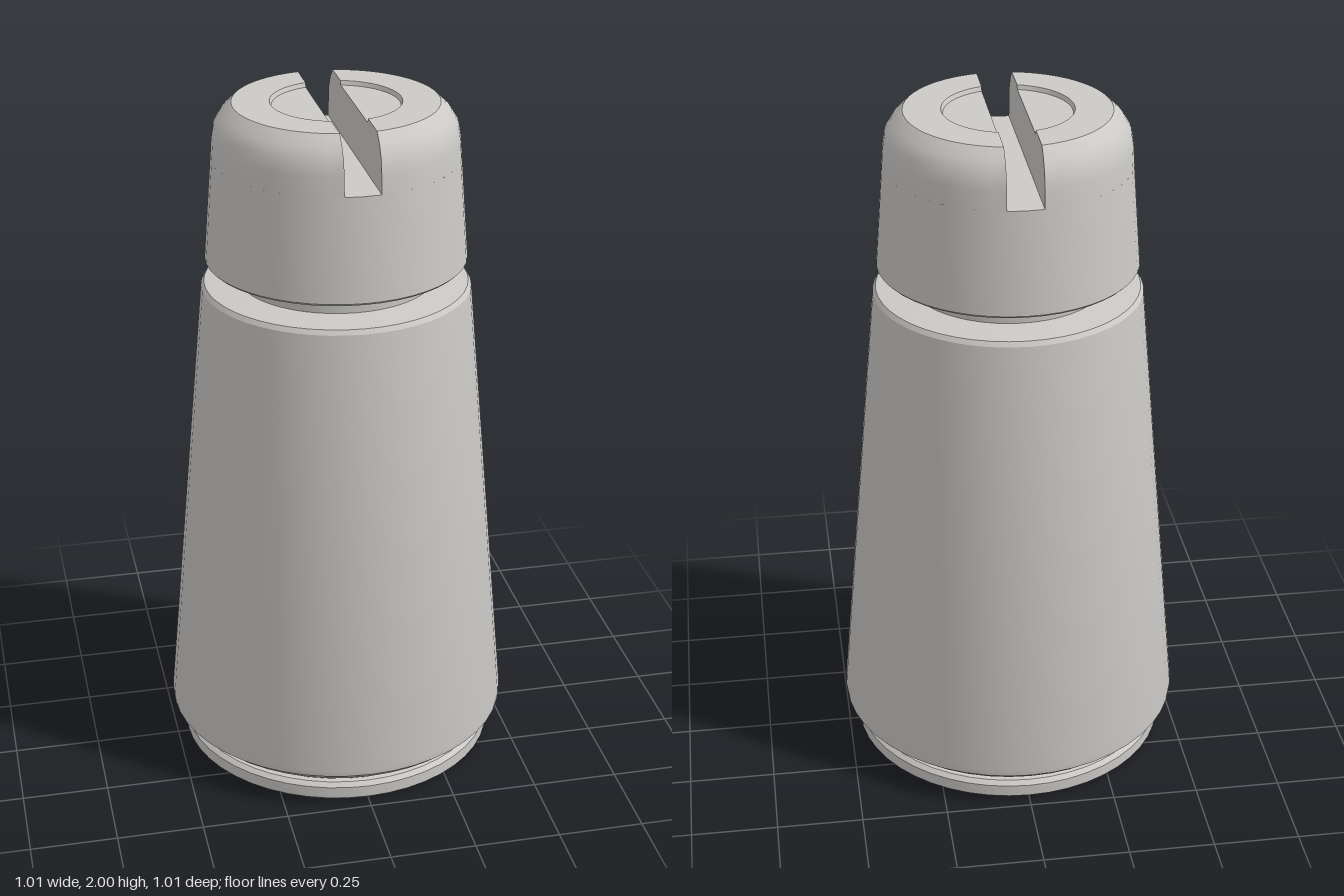
import * as THREE from 'three';
import { toCreasedNormals } from 'three/addons/utils/BufferGeometryUtils.js';

const SEGMENTS = 48;
const SLOT = 0.05; // half width of the slot
const SLOT_FLOOR = 1.845;

const grey = new THREE.MeshStandardMaterial({ color: 0xcccac7 });
grey.name = 'light grey';

function mesh(name, geometry) {
  const m = new THREE.Mesh(geometry, grey);
  m.name = name;
  return m;
}

// Turned part from [radius, height] pairs, bottom to top
function turned(name, profile) {
  const points = profile.map(([r, y]) => new THREE.Vector2(r, y));
  return mesh(name, toCreasedNormals(new THREE.LatheGeometry(points, SEGMENTS), 0.45));
}

// Outer skin of one cap half: arcs that stop at the slot wall
function halfSkin(profile) {
  const n = SEGMENTS / 2;
  const positions = [];
  const index = [];
  profile.forEach(([r, y], i) => {
    const a = Math.acos(Math.min(1, SLOT / r));
    for (let j = 0; j <= n; j++) {
      const t = -a + (2 * a * j) / n;
      positions.push(r * Math.cos(t), y, r * Math.sin(t));
      if (i < profile.length - 1 && j < n) {
        const p = i * (n + 1) + j;
        const q = p + n + 1;
        index.push(p, q, p + 1, q, q + 1, p + 1);
      }
    }
  });
  const g = new THREE.BufferGeometry();
  g.setAttribute('position', new THREE.Float32BufferAttribute(positions, 3));
  g.setIndex(index);
  return toCreasedNormals(g, 0.45);
}

// Flat wall of the slot, cut through the same profile
function slotWall(profile) {
  const side = profile.map(([r, y]) => new THREE.Vector2(Math.sqrt(Math.max(0, r * r - SLOT * SLOT)), y));
  const mirrored = side.slice(0, -1).reverse().map((p) => new THREE.Vector2(-p.x, p.y));
  const g = new THREE.ShapeGeometry(new THREE.Shape([...side, ...mirrored]));
  g.rotateY(-Math.PI / 2);
  g.translate(SLOT, 0, 0);
  return g;
}

export function createModel() {
  const model = new THREE.Group();
  model.name = 'slottedCapContainer';

  // Foot disc and the groove above it
  model.add(turned('foot', [
    [0, 0], [0.455, 0], [0.468, 0.012], [0.468, 0.048], [0.455, 0.06], [0.44, 0.062], [0.44, 0.085],
  ]));

  // Tapered body with a chamfered lower edge
  model.add(turned('body', [
    [0.44, 0.08], [0.475, 0.088], [0.505, 0.115], [0.507, 0.135],
    [0.385, 1.465], [0.376, 1.478], [0.28, 1.485],
  ]));

  model.add(turned('neck', [[0.28, 1.48], [0.28, 1.535]]));

  // Cap below the slot floor
  model.add(turned('capSkirt', [
    [0.27, 1.525], [0.365, 1.543], [0.372, 1.55], [0.349, SLOT_FLOOR], [0, SLOT_FLOOR],
  ]));

  // Two cap halves beside the slot, with a shallow round recess on top
  const profile = [
    [0.349, SLOT_FLOOR], [0.345, 1.9], [0.338, 1.94], [0.318, 1.972], [0.288, 2],
    [0.183, 2], [0.178, 1.988], [SLOT, 1.988],
  ];
  for (const [name, turn] of [['leftCapHalf', 0], ['rightCapHalf', Math.PI]]) {
    const half = new THREE.Group();
    half.name = name;
    half.add(mesh('capSkin', halfSkin(profile)), mesh('slotWall', slotWall(profile)));
    half.rotation.y = turn;
    model.add(half);
  }

  return model;
}
